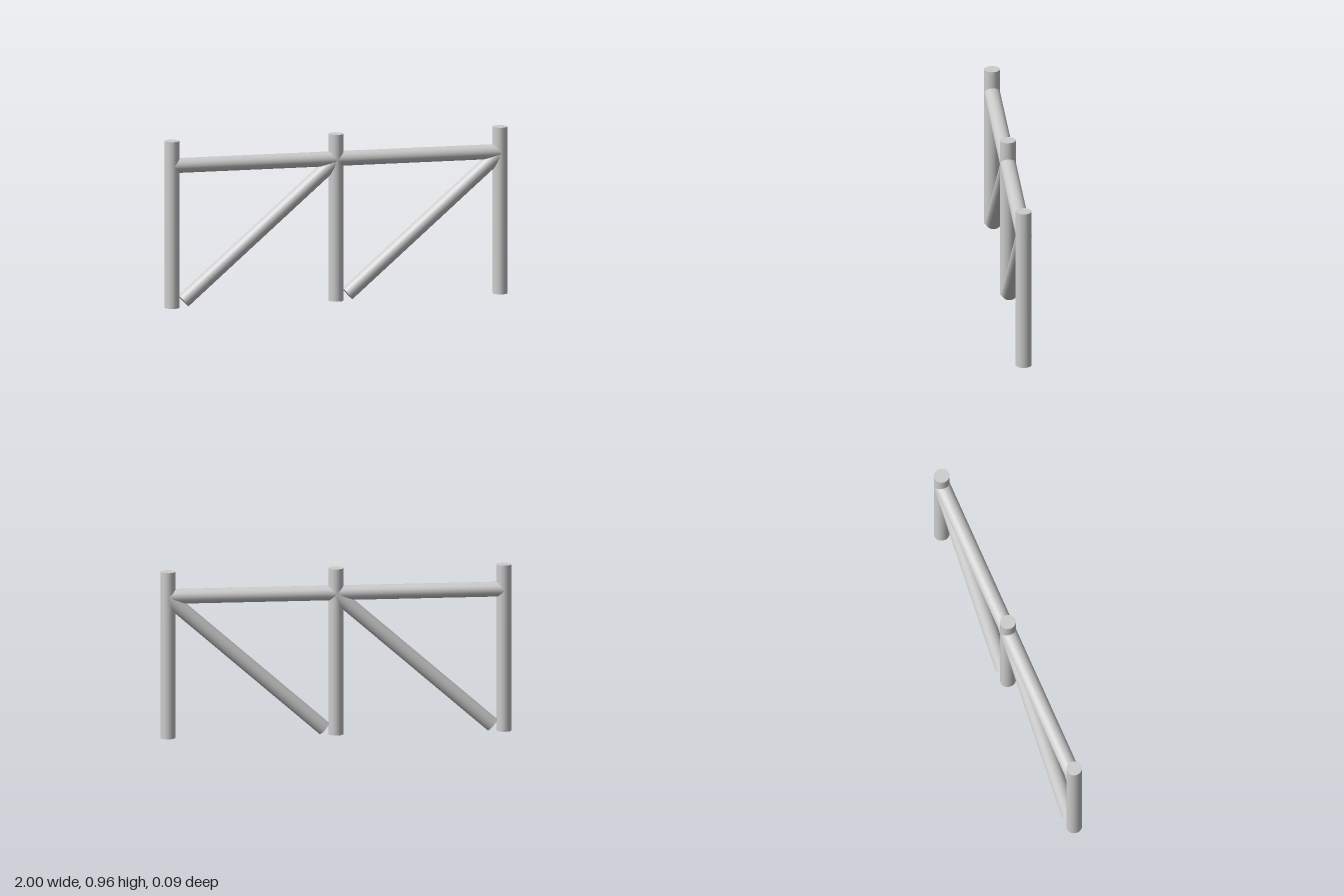
import * as THREE from 'three';

const RADIUS = 0.042;   // half width seen from the front
const DEPTH = 0.0455;   // half depth along z
const SPAN = 0.957;     // distance between posts
const HEIGHT = 0.958;
const RAIL_Y = 0.815;

const material = new THREE.MeshStandardMaterial({ color: 0xcccccc });

// Round log between two points in the x-y plane
function log(name, x1, y1, x2, y2, z) {
  const dx = x2 - x1, dy = y2 - y1;
  const geometry = new THREE.CylinderGeometry(1, 1, Math.hypot(dx, dy), 24);
  geometry.scale(RADIUS, 1, DEPTH);
  const mesh = new THREE.Mesh(geometry, material);
  mesh.name = name;
  mesh.position.set((x1 + x2) / 2, (y1 + y2) / 2, z);
  mesh.rotation.z = Math.atan2(-dx, dy);
  return mesh;
}

export function createModel() {
  const fence = new THREE.Group();
  fence.name = 'fence';

  // Upright posts
  for (const x of [-SPAN, 0, SPAN]) {
    fence.add(log('post', x, 0, x, HEIGHT, 0.001));
  }

  // Each bay has a top rail and a diagonal brace rising to the next post
  for (const x of [-SPAN, 0]) {
    fence.add(log('rail', x, RAIL_Y, x + SPAN, RAIL_Y, 0.001));
    fence.add(log('brace', x + 0.067, 0.035, x + SPAN, 0.808, -0.001));
  }
  return fence;
}
